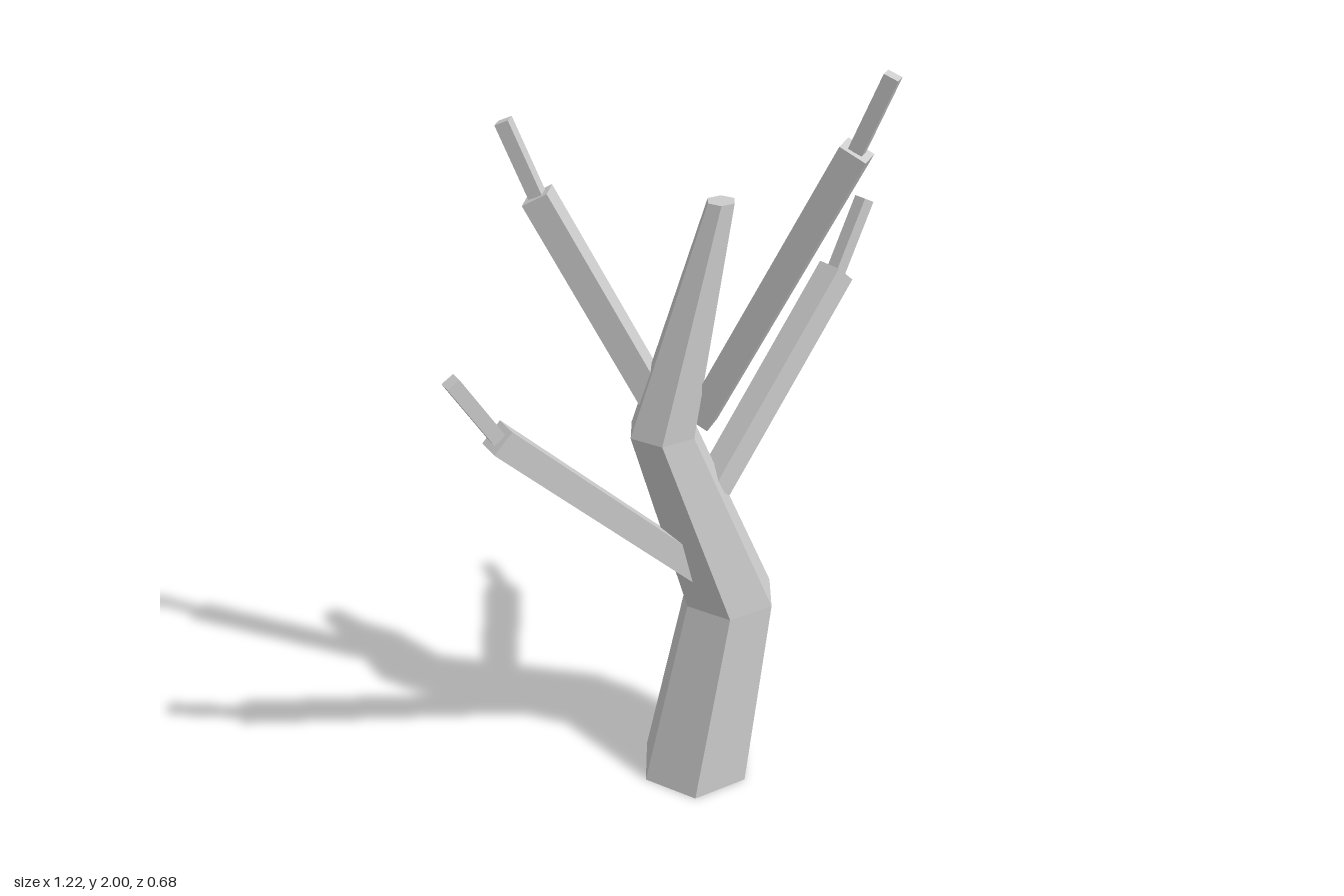
import * as THREE from 'three';

export function createModel() {
  const tree = new THREE.Group();
  tree.name = 'bareTree';
  const bark = new THREE.MeshStandardMaterial({ color: 0xcccccc, flatShading: true });
  bark.name = 'bark';

  // Trunk: a six-sided column bent and tapered through four rings [x, y, z, radius]
  const rings = [
    [0.032, 0, -0.035, 0.157],
    [0.137, 0.53, -0.037, 0.128],
    [-0.045, 1.06, -0.065, 0.09],
    [0.1, 1.64, -0.036, 0.036],
  ];
  const trunkGeometry = new THREE.CylinderGeometry(1, 1, 1, 6, 3, false, Math.PI / 2);
  const p = trunkGeometry.attributes.position;
  for (let i = 0; i < p.count; i++) {
    const [x, y, z, r] = rings[Math.round((p.getY(i) + 0.5) * 3)];
    p.setXYZ(i, x + p.getX(i) * r, y, z + p.getZ(i) * r);
  }
  trunkGeometry.computeVertexNormals();
  const trunk = new THREE.Mesh(trunkGeometry, bark);
  trunk.name = 'trunk';
  tree.add(trunk);

  // Square beam between two points, with one pair of sides kept upright
  function beam(name, from, to, width) {
    const a = new THREE.Vector3(...from);
    const b = new THREE.Vector3(...to);
    const d = b.clone().sub(a);
    const mesh = new THREE.Mesh(new THREE.BoxGeometry(width, d.length(), width), bark);
    mesh.name = name;
    mesh.position.copy(a).add(b).multiplyScalar(0.5);
    mesh.rotation.order = 'YXZ';
    mesh.rotation.y = Math.atan2(d.x, d.z);
    mesh.rotation.x = Math.atan2(Math.hypot(d.x, d.z), d.y);
    return mesh;
  }

  // Branches: a thick limb, then a thinner and steeper twig
  const branches = [
    ['rightBranch', [0.04, 0.64, -0.037], [-0.497, 1.175, -0.037], [-0.6, 1.345, -0.037]],
    ['leftBranch', [0.093, 0.865, -0.05], [0.503, 1.347, -0.128], [0.59, 1.52, -0.142]],
    ['frontBranch', [0.04, 1.09, -0.025], [0.265, 1.82, 0.26], [0.309, 1.993, 0.315]],
    ['backBranch', [0.04, 0.94, -0.05], [-0.26, 1.645, -0.272], [-0.315, 1.82, -0.318]],
  ];
  for (const [name, root, elbow, tip] of branches) {
    const branch = new THREE.Group();
    branch.name = name;
    branch.add(beam('limb', root, elbow, 0.068), beam('twig', elbow, tip, 0.035));
    tree.add(branch);
  }
  return tree;
}
